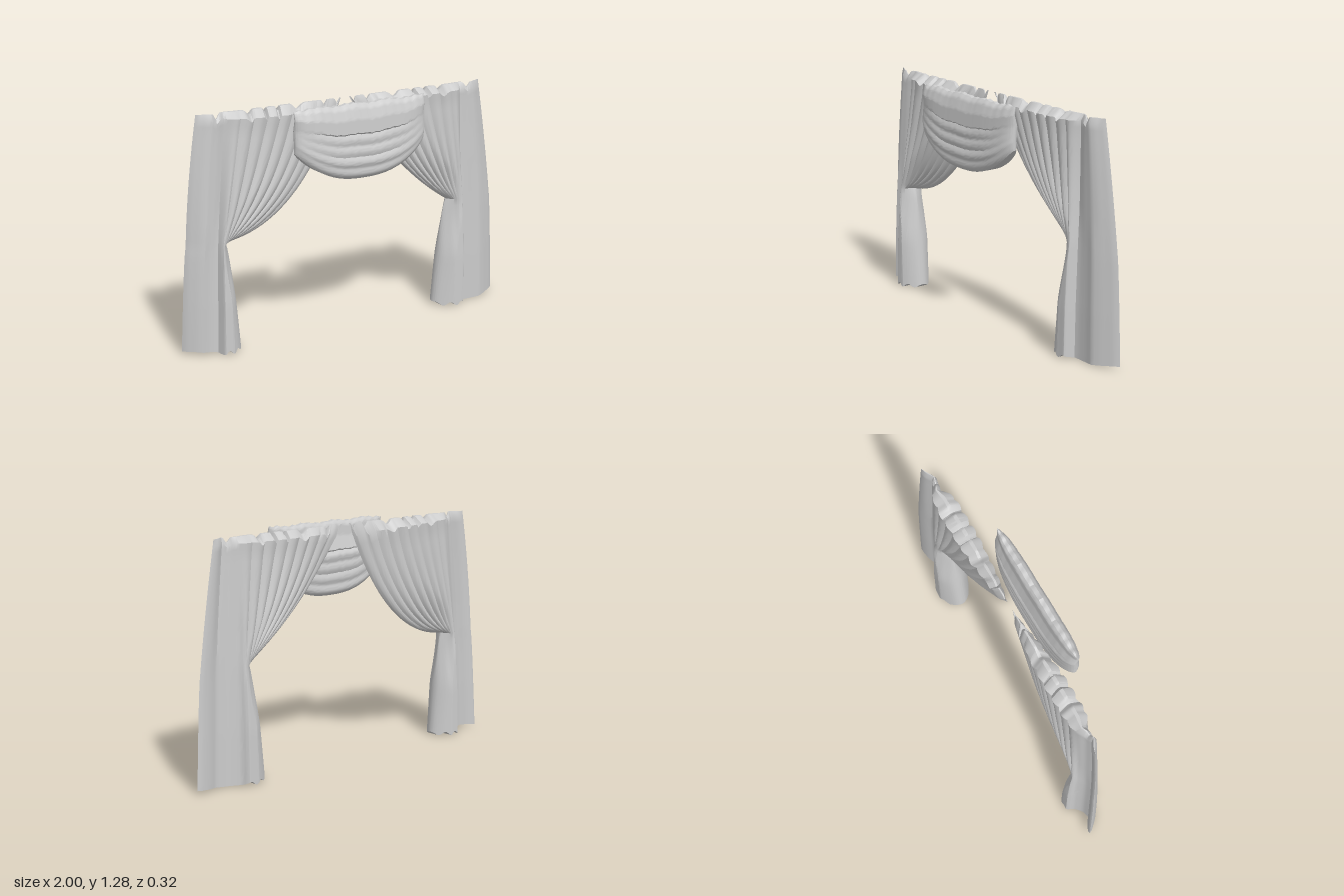
import * as THREE from 'three';
import { toCreasedNormals } from 'three/addons/utils/BufferGeometryUtils.js';

const { lerp, smoothstep, clamp } = THREE.MathUtils;
const material = new THREE.MeshStandardMaterial({ color: 0xcccccc, side: THREE.DoubleSide });

// Closed cloth shell: each row is a loop running along the front and back again along the rear.
// point(u, v, side) gives [x, y, z]; u runs left to right, v from top to bottom, side is +1 or -1.
function shell(name, cols, rows, point) {
  const positions = [], index = [], ring = cols * 2;
  for (const v of rows) {
    for (let j = 0; j < ring; j++) {
      const front = j <= cols;
      positions.push(...point((front ? j : ring - j) / cols, v, front ? 1 : -1));
    }
  }
  for (let r = 0; r < rows.length - 1; r++) {
    for (let j = 0; j < ring; j++) {
      const a = r * ring + j, b = r * ring + (j + 1) % ring;
      index.push(a, a + ring, b, b, a + ring, b + ring);
    }
  }
  // Strips closing the top and the hem
  const last = (rows.length - 1) * ring;
  for (let i = 0; i < cols; i++) {
    const a = i, b = i + 1, c = (ring - i - 1) % ring, d = (ring - i) % ring;
    index.push(a, b, d, b, c, d);
    index.push(last + a, last + d, last + b, last + b, last + d, last + c);
  }
  const geometry = new THREE.BufferGeometry();
  geometry.setAttribute('position', new THREE.Float32BufferAttribute(positions, 3));
  geometry.setIndex(index);
  const mesh = new THREE.Mesh(toCreasedNormals(geometry, 0.6), material);
  mesh.name = name;
  return mesh;
}

// Piecewise linear lookup in [position, value] pairs
function ramp(points, t) {
  for (let i = 1; i < points.length; i++) {
    const [t0, a] = points[i - 1], [t1, b] = points[i];
    if (t <= t1) return lerp(a, b, (t - t0) / (t1 - t0));
  }
  return points[points.length - 1][1];
}

const steps = (n) => Array.from({ length: n + 1 }, (_, i) => i / n);

// Side curtain: strands fall from the rail, gather at the tie and hang to the floor.
// Each x list gives the outer edge, the standing fold, the first gathered strand and the inner edge.
function curtain(name, o) {
  const FOLD = 0.18, TIE = 0.55, PLEATS = 11;
  const across = (xs, u) => ramp([[0, xs[0]], [FOLD, xs[1]], [0.36, xs[2]], [1, xs[3]]], u);
  const rows = [0, 0.025, ...steps(40).slice(2)];
  return shell(name, PLEATS * 8, rows, (s, v, side) => {
    const u = o.flip ? 1 - s : s;
    const w = clamp((u - FOLD) / (1 - FOLD), 0, 1);
    const xTop = across(o.top, u), xTie = across(o.tie, u), xHem = across(o.hem, u);
    let x, y;
    if (v <= TIE) {
      const t = v / TIE, a = (1 - t) ** 2, b = 2 * t * (1 - t), c = t * t;
      const notch = 0.028 * smoothstep(u, 0.02, 0.08) * Math.max(0, Math.sin(u * 47 + 2 * Math.sin(u * 13))) ** 3;
      const yTop = 1.278 - notch * (1 - t) ** 4;
      const flare = o.flare * (1 - smoothstep(u, 0, FOLD));
      x = a * xTop + b * (lerp((xTop + xTie) / 2, o.control[0], w * w) + flare) + c * xTie;
      y = a * yTop + b * lerp(0.93, o.control[1], w) + c * o.tieY;
    } else {
      const t = (v - TIE) / (1 - TIE);
      x = lerp(xTie, xHem, t ** 0.7);
      y = lerp(o.tieY, 0.012 + 0.01 * Math.sin(u * 19 + o.phase), t);
    }
    // Thin outer flap, full gathered body, inner edge that narrows most at the tie
    const pinch = smoothstep(v, 0.2, TIE) * (1 - smoothstep(v, TIE, 0.8));
    const taper = Math.min(1, (1 - w) / lerp(0.55, 0.95, pinch)) ** lerp(0.5, 0.8, pinch);
    const body = lerp(0.27, 1, smoothstep(u, 0.12, 0.28)) * Math.sqrt(Math.min(1, u / 0.06)) * taper;
    const depth = ramp([[0, 0.01], [0.025, 0.06], [0.07, 0.056], [0.2, 0.061], [0.35, 0.069], [TIE, 0.074], [0.8, 0.091], [1, 0.094]], v);
    // Crisp pleats above the tie, smooth cloth below it
    const crease = lerp(0.22, 0, smoothstep(v, 0.35, 0.58));
    const pleat = 1 - crease * (1 - Math.abs(Math.sin(Math.PI * PLEATS * u)));
    // The flap bows forward and its outer edge turns back
    const edge = lerp(-0.022, o.edgeZ, v);
    const bow = ramp([[0, edge], [0.04, edge * 0.45], [0.09, 0.014], [0.14, 0.004], [0.18, -0.012], [0.25, 0]], u);
    return [x, y, -0.064 + bow + side * depth * body * pleat];
  });
}

// Centre swag: rounded drape with a curved hem and hanging folds
function swag() {
  const rows = [0, 0.02, ...steps(50).slice(2)];
  return shell('centreSwag', 56, rows, (u, v, side) => {
    const t = -Math.cos(Math.PI * u);
    const top = 1.275 + 0.008 * Math.sin(t * 17) * Math.cos(t * 29);
    const hem = 0.88 + 0.17 * Math.abs(t) ** 2.5;
    const depth = ramp([[0, 0.012], [0.05, 0.03], [0.2, 0.042], [0.45, 0.06], [0.8, 0.065], [0.95, 0.058], [1, 0.048]], v);
    const fold = v < 0.4 ? 0 : 0.008 * (1 - t * t) * (Math.abs(Math.sin(Math.PI * (v - 0.4) / 0.15)) - 1);
    const centre = ramp([[0, 0.088], [0.2, 0.098], [0.45, 0.087], [0.8, 0.094], [1, 0.09]], v);
    const round = Math.sqrt(Math.max(0, 1 - t ** 4));
    return [-0.025 + 0.4 * t, lerp(top, hem, v), centre + side * (depth + fold) * round];
  });
}

export function createModel() {
  const group = new THREE.Group();
  group.name = 'drapedCurtains';
  group.add(
    curtain('rightCurtain', {
      top: [-0.895, -0.75, -0.59, -0.05], tie: [-0.965, -0.81, -0.785, -0.755], hem: [-1, -0.83, -0.795, -0.685],
      control: [-0.32, 0.62], tieY: 0.59, phase: 0.5, edgeZ: -0.05, flare: -0.02,
    }),
    curtain('leftCurtain', {
      top: [0.865, 0.72, 0.56, 0], tie: [0.965, 0.73, 0.685, 0.64], hem: [1, 0.73, 0.69, 0.555],
      control: [0.3, 0.83], tieY: 0.62, phase: 2, flip: true, edgeZ: -0.035, flare: 0.012,
    }),
    swag(),
  );
  return group;
}
